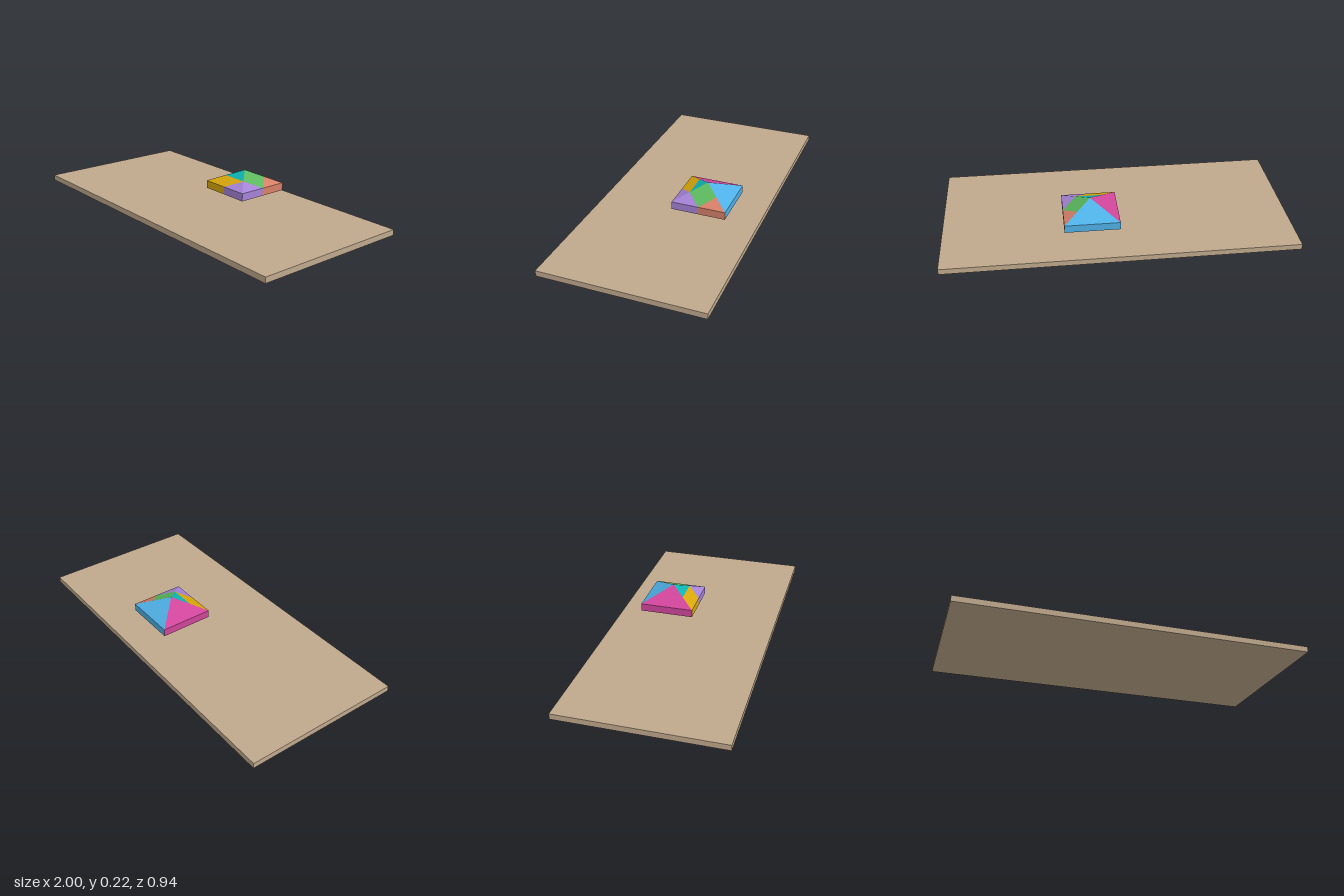
import * as THREE from 'three';

const HALF = 0.156;                    // half width of the puzzle square
const RIM_LOW = 0.107, RIM_HIGH = 0.152, RISE = 0.073;

// Plan outlines, counter-clockwise from above, in units of HALF about the apex.
// A piece lying across a ridge is given as two outlines.
const PIECES = [
  ['largeTriangleBack', 'blue', 0x4fb0e6, [[[-1, -1], [0, 0], [1, -1]]]],
  ['largeTriangleRight', 'pink', 0xd0459a, [[[0, 0], [-1, -1], [-1, 1]]]],
  ['smallTriangleFront', 'teal', 0x0fb3b3, [[[0, 0], [-0.5, 0.5], [0.5, 0.5]]]],
  ['parallelogram', 'gold', 0xd9a70c, [[[-1, 1], [0, 1], [0.5, 0.5], [-0.5, 0.5]]]],
  ['mediumTriangle', 'purple', 0xa582d6, [
    [[0, 1], [1, 1], [0.5, 0.5]],
    [[1, 1], [1, 0], [0.5, 0.5]],
  ]],
  ['square', 'green', 0x5cb85f, [[[0, 0], [0.5, 0.5], [1, 0], [0.5, -0.5]]]],
  ['smallTriangleLeft', 'coral', 0xd67f67, [[[1, 0], [1, -1], [0.5, -0.5]]]],
];

const reach = ([u, w]) => Math.max(Math.abs(u), Math.abs(w));

// Upper slope, mirrored lower slope, and the upright rim of one piece
function pieceGeometry(outlines) {
  const positions = [];
  const upper = (p) => [p[0] * HALF, RIM_HIGH + RISE * (1 - reach(p)), p[1] * HALF];
  const lower = (p) => [p[0] * HALF, RIM_LOW - RISE * (1 - reach(p)), p[1] * HALF];
  const fan = (pts) => {
    for (let i = 1; i < pts.length - 1; i++) positions.push(...pts[0], ...pts[i], ...pts[i + 1]);
  };
  for (const outline of outlines) {
    fan(outline.map(upper));
    fan(outline.map(lower).reverse());
    outline.forEach((a, i) => {
      const b = outline[(i + 1) % outline.length];
      const middle = [(a[0] + b[0]) / 2, (a[1] + b[1]) / 2];
      if (reach(middle) === 1) fan([lower(a), lower(b), upper(b), upper(a)]);
    });
  }
  const geometry = new THREE.BufferGeometry();
  geometry.setAttribute('position', new THREE.Float32BufferAttribute(positions, 3));
  geometry.computeVertexNormals();
  return geometry;
}

function flatColour(name, color) {
  const material = new THREE.MeshStandardMaterial({ color });
  material.name = name;
  return material;
}

export function createModel() {
  const model = new THREE.Group();
  model.name = 'puzzleOnBoard';

  // Board
  const board = new THREE.Mesh(new THREE.BoxGeometry(2, 0.033, 0.935), flatColour('tan', 0xbfa88c));
  board.name = 'board';
  board.position.y = 0.0165;
  model.add(board);

  // Seven-piece puzzle forming a double pyramid balanced on its tip
  const puzzle = new THREE.Group();
  puzzle.name = 'puzzle';
  puzzle.position.set(HALF, 0, -HALF);
  for (const [name, colourName, colour, outlines] of PIECES) {
    const piece = new THREE.Mesh(pieceGeometry(outlines), flatColour(colourName, colour));
    piece.name = name;
    puzzle.add(piece);
  }
  model.add(puzzle);
  return model;
}
